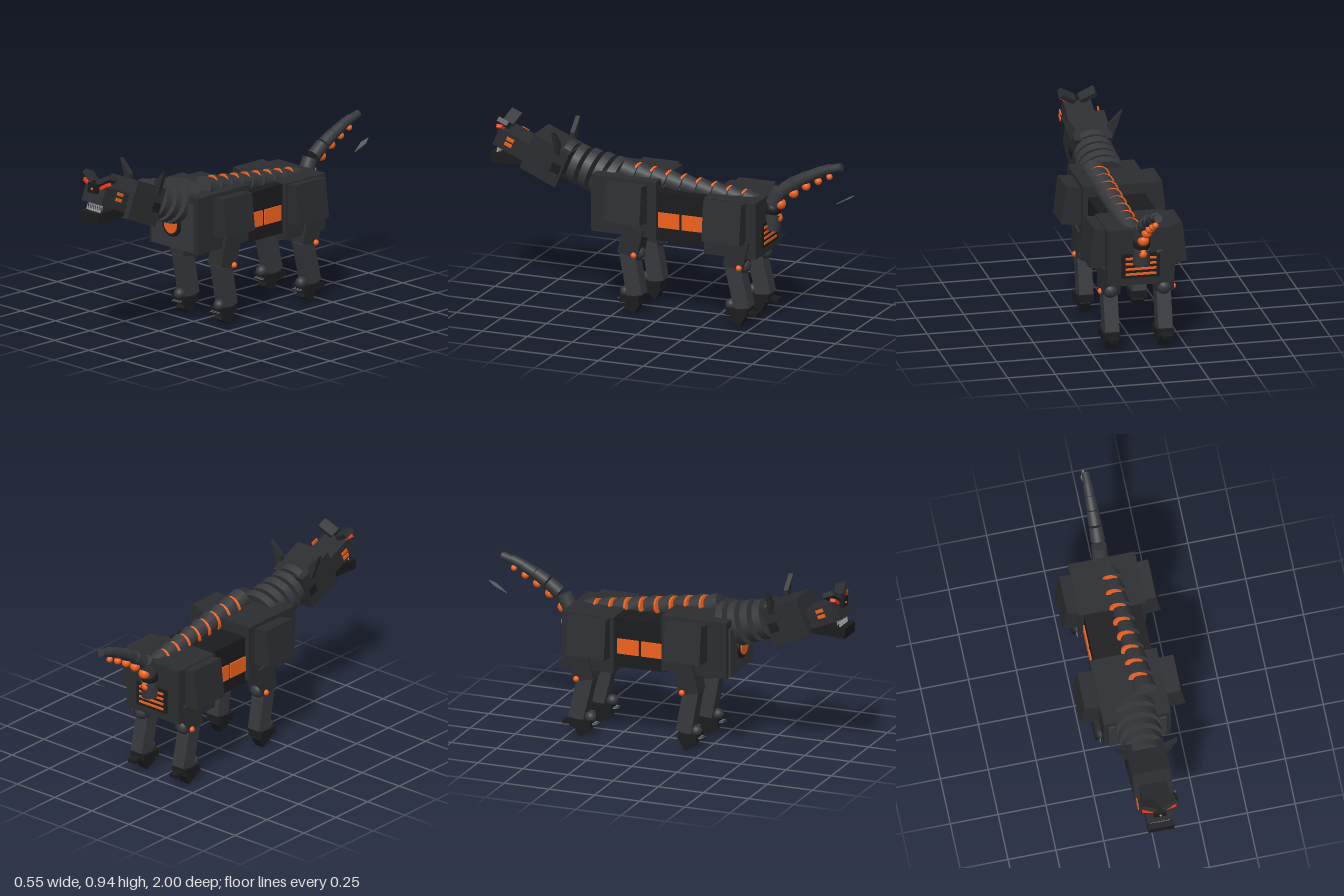
import * as THREE from 'three';

const paint = (color, extra = {}) => {
  const m = new THREE.MeshStandardMaterial(extra);
  m.color.set(color);
  return m;
};
const armor = paint(0x2b2d30);
const dark = paint(0x1b1c1e);
const joint = paint(0x36383c);
const orange = paint(0xf0621e);
const red = paint(0xff3a12);
const tooth = paint(0x9a9a9a);
const steel = paint(0x5a5c60, { side: THREE.DoubleSide });

export function createModel() {
  const model = new THREE.Group();

  const add = (name, geo, mat, pos = [0, 0, 0], rot = [0, 0, 0], parent = model) => {
    const m = new THREE.Mesh(geo, mat);
    m.name = name;
    m.position.set(...pos);
    m.rotation.set(...rot);
    parent.add(m);
    return m;
  };
  const box = (name, size, mat, pos, rot, parent) =>
    add(name, new THREE.BoxGeometry(...size), mat, pos, rot, parent);
  const ball = (name, r, mat, pos, parent) =>
    add(name, new THREE.SphereGeometry(r, 20, 14), mat, pos, [0, 0, 0], parent);
  // cylinder whose axis runs along dir
  const drum = (name, r1, r2, len, mat, pos, dir, parent) => {
    const m = add(name, new THREE.CylinderGeometry(r1, r2, len, 20), mat, pos, [0, 0, 0], parent);
    m.quaternion.setFromUnitVectors(new THREE.Vector3(0, 1, 0), new THREE.Vector3(...dir).normalize());
    return m;
  };
  // box limb from a to b in the YZ plane
  const limb = (name, w, d, x, [ya, za], [yb, zb], mat, parent) =>
    box(name, [w, Math.hypot(ya - yb, za - zb), d], mat,
      [x, (ya + yb) / 2, (za + zb) / 2], [Math.atan2(za - zb, ya - yb), 0, 0], parent);

  // Torso
  box('chest', [0.35, 0.3, 0.36], armor, [0, 0.57, 0.21]);
  box('chestPlate', [0.3, 0.255, 0.02], joint, [0, 0.553, 0.392]);
  drum('reactorRing', 0.064, 0.064, 0.02, dark, [0, 0.55, 0.402], [0, 0, 1]);
  drum('reactorCore', 0.045, 0.045, 0.03, orange, [0, 0.55, 0.405], [0, 0, 1]);
  box('waist', [0.3, 0.26, 0.3], dark, [0, 0.533, -0.11]);
  box('hips', [0.35, 0.3, 0.285], armor, [0, 0.52, -0.38]);

  // Rear vent
  box('ventFrame', [0.2, 0.13, 0.012], dark, [0, 0.475, -0.524]);
  for (let i = 0; i < 4; i++)
    box('ventSlit', [0.16, 0.012, 0.012], orange, [0, 0.432 + i * 0.028, -0.529]);

  // Parts mirrored left and right
  for (const s of [1, -1]) {
    for (const z of [-0.032, -0.165])
      box('sidePanel', [0.012, 0.08, 0.118], orange, [s * 0.152, 0.515, z]);
    box('shoulderArmor', [0.1, 0.2, 0.2], armor, [s * 0.214, 0.603, 0.18], [0, 0, s * 0.12]);
    box('hipArmor', [0.1, 0.21, 0.21], armor, [s * 0.195, 0.56, -0.362], [0, 0, s * 0.12]);

    // Legs: the hind leg repeats the front one further back
    for (const [name, z] of [['frontLeg', 0], ['hindLeg', -0.585]]) {
      const leg = new THREE.Group();
      leg.name = name;
      leg.position.z = z;
      model.add(leg);
      const x = s * 0.14;
      limb('upperLeg', 0.1, 0.11, x, [0.47, 0.15], [0.315, 0.185], armor, leg);
      limb('lowerLeg', 0.075, 0.085, x, [0.33, 0.192], [0.1, z ? 0.138 : 0.15], joint, leg);
      ball('kneeJoint', 0.04, joint, [x, 0.322, 0.145], leg);
      ball('kneeLight', 0.016, orange, [s * 0.19, 0.32, 0.148], leg);
      ball('ankleJoint', 0.03, joint, [s * 0.145, 0.11, 0.21], leg);
      box('paw', [0.09, 0.038, z ? 0.12 : 0.105], dark, [x, 0.08, z ? 0.165 : 0.175], [0, 0, 0], leg);
      box('paw pad', [0.055, 0.06, 0.07], dark, [x, 0.044, 0.17], [-0.5, 0, 0], leg);
      for (const i of [-1, 0, 1])
        drum('claw', 0.001, 0.007, 0.03, steel, [x + i * 0.022, 0.076, 0.235], [0, 0, 1], leg);
      if (z) limb('heel', 0.05, 0.02, x, [0.078, 0.12], [0.07, 0.06], dark, leg);
    }
  }

  // Neck rings, open between
  for (let i = 0; i < 5; i++) {
    const t = i / 4, r = 0.122 - 0.022 * t;
    drum('neckRing', r, r, 0.042, joint, [0, 0.655 + 0.075 * t, 0.335 + 0.26 * t], [0, 0.33, 0.94]);
  }

  // Head, nose raised
  const tilt = -0.4;
  box('skull', [0.2, 0.205, 0.215], armor, [0, 0.737, 0.682], [tilt, 0, 0]);
  box('snout', [0.145, 0.1, 0.18], armor, [0, 0.795, 0.88], [tilt, 0, 0]);
  box('nose', [0.064, 0.05, 0.05], dark, [0, 0.86, 0.952]);
  ball('noseLight', 0.007, orange, [0, 0.857, 0.977]);
  box('jaw', [0.135, 0.055, 0.24], dark, [0, 0.715, 0.88], [0.05, 0, 0]);
  for (let i = 0; i < 8; i++) {
    const x = -0.046 + i * 0.0131;
    drum('upperTooth', 0.008, 0.001, 0.05, tooth, [x, 0.766, 0.95], [0, 1, 0]);
    drum('lowerTooth', 0.001, 0.006, 0.03, tooth, [x, 0.751, 0.965], [0, 1, 0]);
  }
  for (const s of [1, -1]) {
    box('brow', [0.09, 0.026, 0.06], armor, [s * 0.055, 0.898, 0.925], [tilt, 0, s * 0.55]);
    box('eye', [0.064, 0.017, 0.03], red, [s * 0.058, 0.874, 0.94], [0, 0, s * 0.52]);
    box('jawHinge', [0.012, 0.05, 0.05], dark, [s * 0.101, 0.705, 0.62], [tilt, 0, 0]);
    // Cheek vents
    for (const [y, z] of [[0.826, 0.872], [0.799, 0.884]])
      box('cheekVent', [0.006, 0.018, 0.042], orange, [s * 0.1, y, z], [tilt, 0, 0]);
    // Ears
    const ear = new THREE.Shape([[0.09, 0.78], [0.115, 0.78], [0.162, 0.915], [0.09, 0.845]]
      .map(([x, y]) => new THREE.Vector2(s * x, y)));
    add('ear', new THREE.ExtrudeGeometry(ear, { depth: 0.024, bevelEnabled: false }), armor, [0, 0, 0.595]);
  }

  // Spine segments drifting to the left, with glowing discs between
  for (let i = 0; i < 9; i++) {
    const t = i / 8, r = 0.058 - 0.01 * t;
    const p = [0.07 - 0.035 * t, 0.725 - 0.085 * t, 0.22 - 0.66 * t];
    drum('spineSegment', r, r * 0.88, 0.075, joint, p, [0.05, 0.3, 1]);
    if (i < 8)
      drum('spineGlow', r * 0.95, r * 0.95, 0.012, orange, [p[0] - 0.016, p[1] - 0.003, p[2] - 0.041], [-0.2, 0.2, 1]);
  }

  // Tail: [z, y] centres curving up and back
  const tail = [[-0.545, 0.535], [-0.565, 0.665], [-0.638, 0.73], [-0.708, 0.775], [-0.775, 0.81], [-0.838, 0.84], [-0.895, 0.857]];
  tail.forEach(([z, y], i) => {
    const [z0, y0] = tail[Math.max(i - 1, 0)], [z1, y1] = tail[Math.min(i + 1, 6)];
    const r = 0.046 - 0.0038 * i;
    drum('tailSegment', r * 0.92, r, 0.084 - 0.003 * i, joint, [0, y, z], [0, y1 - y0, z1 - z0]);
    if (i > 0 && i < 6)
      ball('tailLight', 0.033 - 0.0033 * i, orange, [0, y - 0.034, z - 0.022]);
  });
  ball('tailRoot', 0.045, dark, [0, 0.6, -0.545]);
  ball('tailRootLight', 0.024, orange, [0, 0.555, -0.575]);

  // Tail blade, a thin floating lozenge
  const blade = new THREE.Shape([[0, 0], [0.017, 0.075], [0, 0.115], [-0.017, 0.075]]
    .map(([x, y]) => new THREE.Vector2(x, y)));
  add('tailBlade', new THREE.ExtrudeGeometry(blade, { depth: 0.005, bevelEnabled: false }), steel,
    [0, 0.663, -0.9], [-1.05, 0, 0]);

  return model;
}
